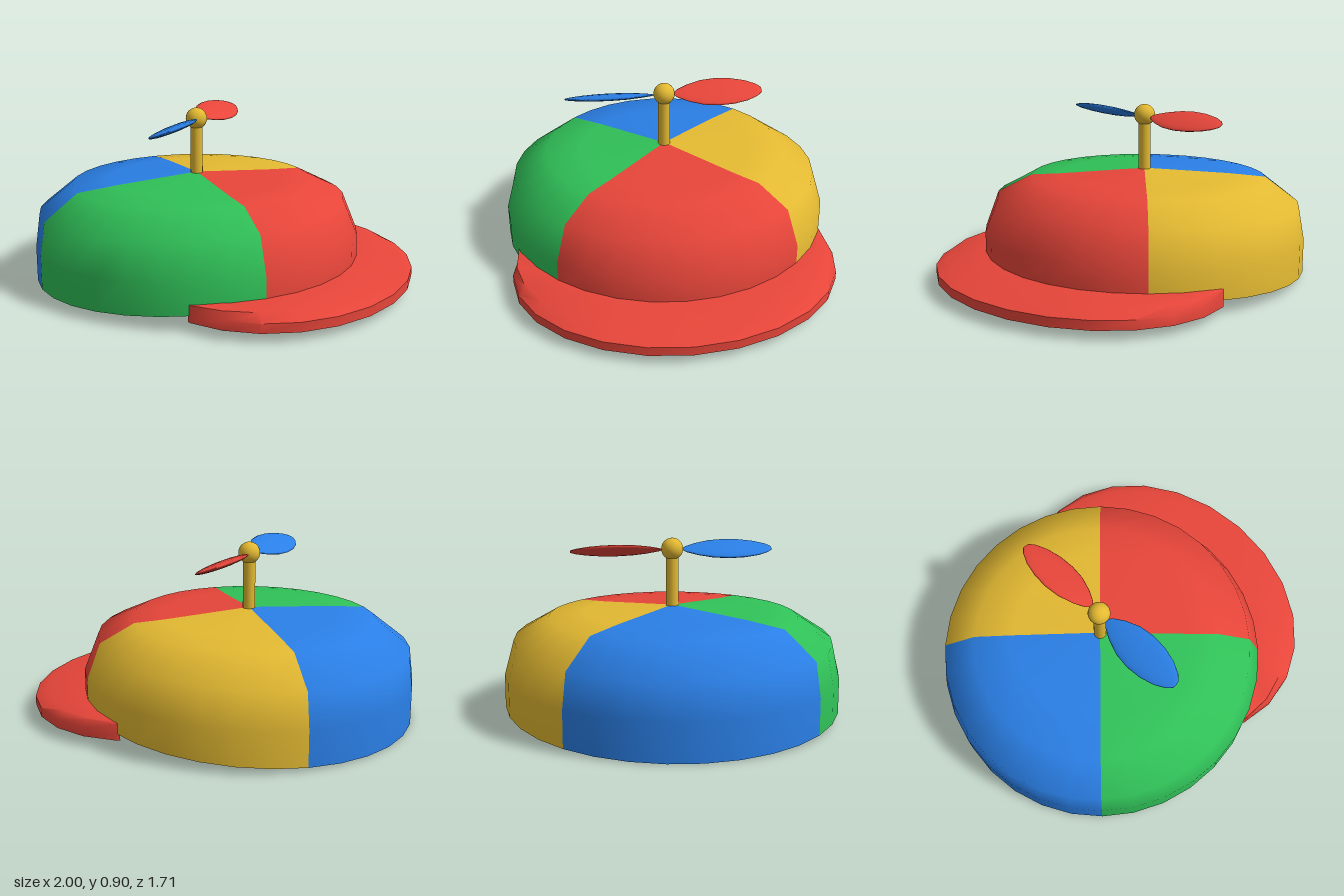
import * as THREE from 'three';
import { toCreasedNormals } from 'three/addons/utils/BufferGeometryUtils.js';

const mat = (name, color) => new THREE.MeshStandardMaterial({ name, color });
const CX = -0.146; // crown axis

// Ring rows lofted round the crown axis, one material group per quarter.
// shift leans a ring backwards while the quarter seams stay straight.
function quarteredLoft(rings, n = 32) {
  const pos = [], index = [];
  for (const { r, y, tilt = 0, shift = 0 } of rings) {
    for (let j = 0; j < n; j++) {
      const a = ((j - n / 8) / n) * Math.PI * 2;
      const c = Math.cos(a), s = Math.sin(a), rad = r + shift * c;
      pos.push(CX + rad * c, y + tilt * c, rad * s);
    }
  }
  const g = new THREE.BufferGeometry();
  for (let q = 0; q < 4; q++) {
    const start = index.length;
    for (let j = (q * n) / 4; j < ((q + 1) * n) / 4; j++) {
      const k = (j + 1) % n;
      for (let i = 0; i < rings.length - 1; i++) {
        const lo = i * n, hi = lo + n;
        index.push(lo + j, hi + j, lo + k, hi + j, hi + k, lo + k);
      }
    }
    g.addGroup(start, index.length - start, q);
  }
  g.setAttribute('position', new THREE.Float32BufferAttribute(pos, 3));
  g.setIndex(index);
  g.computeVertexNormals();
  return g;
}

// Crescent brim: a five-point section swept between crown and outer ellipse
function brimGeometry() {
  const pos = [], index = [], cols = 14, m = 5;
  for (let j = 0; j <= cols; j++) {
    const t = (j / cols) * 2 - 1;
    const a = THREE.MathUtils.degToRad(105 * t), b = THREE.MathUtils.degToRad(70 * t);
    const ox = 0.33 + 0.67 * Math.cos(a), oz = 0.832 * Math.sin(a);
    const ix = CX + 0.843 * Math.cos(b), iz = 0.843 * Math.sin(b);
    const rx = ox + (ix - ox) * 0.22, rz = oz + (iz - oz) * 0.22;
    const edgeTop = Math.abs(t) === 1 ? 0.08 : 0.095;
    pos.push(ix, 0.047, iz, ox, 0.047, oz, ox, edgeTop, oz,
      rx, 0.108 + 0.025 * Math.abs(Math.sin(a)), rz, ix, 0.138, iz);
  }
  for (let j = 0; j < cols; j++) {
    for (let i = 0; i < m; i++) {
      const p = j * m + i, u = j * m + ((i + 1) % m);
      index.push(p, u, p + m, u, u + m, p + m);
    }
  }
  const e = cols * m;
  for (let k = 1; k < m - 1; k++) index.push(0, k + 1, k, e, e + k, e + k + 1);
  const g = new THREE.BufferGeometry();
  g.setAttribute('position', new THREE.Float32BufferAttribute(pos, 3));
  g.setIndex(index);
  return toCreasedNormals(g, 0.9);
}

// Leaf-shaped blade along +z, flattened to a thin lens
function bladeGeometry() {
  const profile = [[0, 0.045], [0.3, 0.07], [0.62, 0.125], [0.9, 0.2], [1, 0.28],
    [0.94, 0.36], [0.74, 0.435], [0.45, 0.49], [0.2, 0.515], [0, 0.517]];
  return new THREE.LatheGeometry(profile.map(([r, l]) => new THREE.Vector2(r, l)), 16)
    .rotateX(Math.PI / 2).scale(0.1, 0.018, 1);
}

export function createModel() {
  const model = new THREE.Group();
  model.name = 'propellerCap';
  const red = mat('red', 0xec473b), green = mat('green', 0x30c158);
  const blue = mat('blue', 0x2a7fe6), yellow = mat('yellow', 0xe4ba32);
  const quarters = [red, green, blue, yellow];

  const add = (name, geometry, material, x = 0, y = 0, z = 0) => {
    const mesh = new THREE.Mesh(geometry, material);
    mesh.name = name;
    mesh.position.set(x, y, z);
    model.add(mesh);
    return mesh;
  };

  // Crown: outer skin, inner lining and the rim joining them
  const outer = [
    { r: 0.855, y: 0.058, tilt: 0.058 },
    { r: 0.855, y: 0.22, tilt: 0.03 },
    { r: 0.806, y: 0.4, tilt: 0.04, shift: -0.03 },
    { r: 0.63, y: 0.512, tilt: 0.01, shift: -0.033 },
    { r: 0.45, y: 0.525 },
    { r: 0.0001, y: 0.555 },
  ];
  const drops = [0, 0, 0.03, 0.055, 0.06, 0.09];
  const inner = outer.map((o, i) => ({
    ...o, r: Math.max(o.r - 0.055, 0.0001), y: o.y - drops[i],
  }));
  add('crownOuter', quarteredLoft(outer), quarters);
  add('crownLining', quarteredLoft([...inner].reverse()), quarters);
  add('crownRim', quarteredLoft([inner[0], outer[0]]), quarters);

  add('brim', brimGeometry(), red);

  // Propeller
  add('stem', new THREE.CylinderGeometry(0.032, 0.032, 0.28, 16), yellow, CX, 0.67, 0);
  add('hub', new THREE.SphereGeometry(0.056, 20, 14), yellow, CX, 0.842, 0);
  for (const [name, turn, material] of [['bladeFront', 0, blue], ['bladeBack', Math.PI, red]]) {
    const blade = add(name, bladeGeometry().rotateZ(0.36), material, CX, 0.838, 0);
    blade.rotation.y = turn;
  }
  return model;
}
